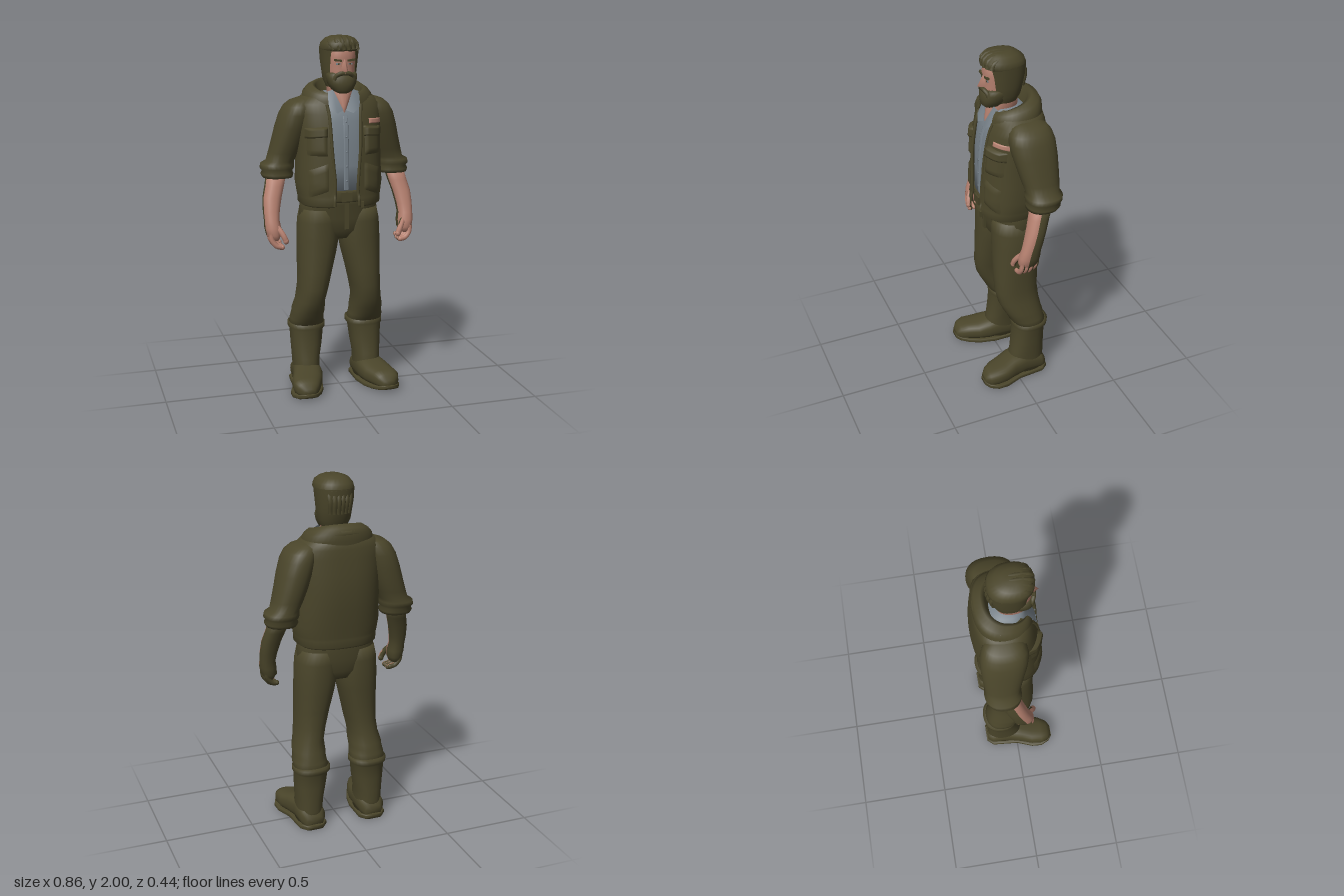
import * as THREE from 'three';

const olive = new THREE.MeshStandardMaterial({ color: 0x4a452a, side: THREE.DoubleSide });
olive.name = 'olive cloth';
const skin = new THREE.MeshStandardMaterial({ color: 0xb5806f, side: THREE.DoubleSide });
skin.name = 'skin';
const grey = new THREE.MeshStandardMaterial({ color: 0x78828a, side: THREE.DoubleSide });
grey.name = 'grey shirt';

// Rows are [y, xMin, xMax, zBack, zFront, frontGapHalfWidth]
function loft(rows, { n = 28, p = 2.3, tilt = 0, caps = true } = {}) {
  const pos = [], idx = [], open = rows[0].length > 5;
  const cols = open ? n + 1 : n;
  for (const [y, x0, x1, zb, zf, gap] of rows) {
    const rx = (x1 - x0) / 2, rz = (zf - zb) / 2;
    const a0 = open ? Math.asin(Math.min(1, Math.pow(gap / rx, p / 2))) : 0;
    for (let j = 0; j < cols; j++) {
      const a = a0 + (2 * Math.PI - 2 * a0) * j / n, s = Math.sin(a), c = Math.cos(a);
      pos.push((x0 + x1) / 2 + rx * Math.sign(s) * Math.abs(s) ** (2 / p), y - tilt * c,
        (zb + zf) / 2 + rz * Math.sign(c) * Math.abs(c) ** (2 / p));
    }
  }
  for (let i = 0; i < rows.length - 1; i++) for (let j = 0; j < n; j++) {
    const k = (j + 1) % cols, a = i * cols + j, b = i * cols + k;
    idx.push(a, b, b + cols, a, b + cols, a + cols);
  }
  if (!open && caps) [0, rows.length - 1].forEach((r, end) => {
    const [y, x0, x1, zb, zf] = rows[r], c = pos.length / 3;
    pos.push((x0 + x1) / 2, y, (zb + zf) / 2);
    for (let j = 0; j < n; j++) {
      const a = r * cols + j, b = r * cols + (j + 1) % n;
      end ? idx.push(a, b, c) : idx.push(b, a, c);
    }
  });
  return surface(pos, idx);
}

function surface(pos, idx) {
  const g = new THREE.BufferGeometry();
  g.setAttribute('position', new THREE.Float32BufferAttribute(pos, 3));
  g.setIndex(idx);
  g.computeVertexNormals();
  return g;
}

// Symmetric rows: [y, halfWidth, zBack, zFront, gap]
const sym = rows => rows.map(([y, w, ...rest]) => [y, -w, w, ...rest]);

// Raised patch hugging the front of a lofted body
function patch(rows, p, x0, x1, y0, y1, lift, slant = 0) {
  const N = 8, pos = [], idx = [];
  for (let i = 0; i <= N; i++) for (let j = 0; j <= N; j++) {
    const x = x0 + (x1 - x0) * j / N, y = y0 + (y1 - y0) * i / N + slant * (j / N - 0.5);
    const k = Math.max(0, Math.min(rows.length - 2, rows.findIndex(r => r[0] > y) - 1));
    const t = (y - rows[k][0]) / (rows[k + 1][0] - rows[k][0]);
    const [, , rx, zb, zf] = rows[k].map((v, q) => v + (rows[k + 1][q] - v) * t);
    const edge = i === 0 || j === 0 || i === N || j === N;
    const u = Math.min(0.99, Math.abs(x) / rx);
    pos.push(x, y, (zb + zf) / 2 + (zf - zb) / 2 * (1 - u ** p) ** (1 / p) + (edge ? 0.001 : lift));
  }
  for (let i = 0; i < N; i++) for (let j = 0; j < N; j++) {
    const a = i * (N + 1) + j, b = a + N + 1;
    idx.push(a, a + 1, b + 1, a, b + 1, b);
  }
  return surface(pos, idx);
}

// Skin on forward faces, olive on the rest
function twoTone(g) {
  const P = g.attributes.position, parts = [[], []], v = [0, 1, 2].map(() => new THREE.Vector3());
  const n = new THREE.Vector3(), I = g.index.array;
  for (let i = 0; i < I.length; i += 3) {
    v.forEach((q, k) => q.fromBufferAttribute(P, I[i + k]));
    THREE.Triangle.getNormal(v[0], v[1], v[2], n);
    parts[n.z > 0.1 ? 0 : 1].push(I[i], I[i + 1], I[i + 2]);
  }
  g.setIndex(parts.flat());
  g.clearGroups();
  g.addGroup(0, parts[0].length, 0);
  g.addGroup(parts[0].length, parts[1].length, 1);
  return g;
}

function mirrored(g) {
  const m = g.clone().scale(-1, 1, 1), a = m.index.array;
  for (let i = 0; i < a.length; i += 3) [a[i], a[i + 1]] = [a[i + 1], a[i]];
  return m;
}

const tube = (pts, r, seg = 10) => new THREE.TubeGeometry(
  new THREE.CatmullRomCurve3(pts.map(q => new THREE.Vector3(...q))), seg, r, 8);
const box = (w, h, d, x, y, z, rz = 0) => new THREE.BoxGeometry(w, h, d).rotateZ(rz).translate(x, y, z);
const ball = (rx, ry, rz, x, y, z) => new THREE.SphereGeometry(1, 14, 10).scale(rx, ry, rz).translate(x, y, z);

export function createModel() {
  const model = new THREE.Group();
  model.name = 'beardedMan';
  const add = (name, g, mat) => {
    const m = new THREE.Mesh(g, mat);
    m.name = name;
    model.add(m);
  };
  const pair = (name, g, mat) => {
    add(name + 'Left', g, mat);
    add(name + 'Right', mirrored(g), mat);
  };

  // Trousers and belt
  add('trouserSeat', loft(sym([[0.88, 0.1, -0.13, 0.06], [0.93, 0.19, -0.155, 0.095], [1.0, 0.225, -0.165, 0.105],
    [1.08, 0.215, -0.17, 0.115], [1.16, 0.2, -0.165, 0.13]])), olive);
  pair('trouserLeg', loft([[0.33, 0.09, 0.25, -0.16, -0.02], [0.365, 0.072, 0.272, -0.185, 0.005],
    [0.4, 0.078, 0.27, -0.172, 0.03], [0.43, 0.082, 0.262, -0.17, 0.045], [0.46, 0.08, 0.262, -0.16, 0.062],
    [0.52, 0.085, 0.245, -0.148, 0.09], [0.6, 0.068, 0.236, -0.142, 0.106], [0.7, 0.045, 0.235, -0.146, 0.107],
    [0.8, 0.02, 0.235, -0.156, 0.106], [0.88, 0.004, 0.235, -0.162, 0.105], [0.98, 0.0, 0.23, -0.165, 0.105],
    [1.05, 0.01, 0.215, -0.16, 0.1]]), olive);
  add('belt', loft(sym([[1.1, 0.2, -0.17, 0.138], [1.11, 0.205, -0.175, 0.143], [1.155, 0.203, -0.175, 0.147],
    [1.165, 0.198, -0.17, 0.14]])), olive);
  add('buckle', box(0.06, 0.05, 0.012, 0, 1.133, 0.148), olive);
  add('fly', box(0.025, 0.15, 0.01, 0.01, 1.02, 0.112), olive);

  // Boots
  pair('bootShaft', loft([[0.02, 0.11, 0.255, -0.175, 0.03], [0.1, 0.107, 0.255, -0.175, 0.04],
    [0.17, 0.103, 0.258, -0.176, 0.022], [0.25, 0.088, 0.264, -0.175, 0.012], [0.33, 0.078, 0.268, -0.18, 0.005],
    [0.345, 0.066, 0.277, -0.193, 0.01], [0.37, 0.066, 0.277, -0.197, 0.008], [0.378, 0.085, 0.26, -0.18, -0.01]]), olive);
  // Foot rows run along z: [z, xMin, xMax, -top, -bottom]
  pair('bootFoot', loft([[-0.18, 0.13, 0.23, -0.08, -0.01], [-0.15, 0.108, 0.255, -0.12, -0.01],
    [-0.05, 0.105, 0.262, -0.15, -0.01], [0.03, 0.108, 0.282, -0.14, -0.01], [0.09, 0.125, 0.302, -0.12, -0.012],
    [0.15, 0.15, 0.308, -0.115, -0.015], [0.19, 0.172, 0.295, -0.1, -0.018], [0.213, 0.2, 0.265, -0.07, -0.025]],
    { p: 2.6 }).rotateX(Math.PI / 2), olive);
  pair('bootSole', loft([[-0.187, 0.13, 0.23, -0.03, 0], [-0.15, 0.1, 0.262, -0.03, 0], [0, 0.1, 0.275, -0.028, 0],
    [0.09, 0.12, 0.31, -0.028, 0], [0.15, 0.145, 0.315, -0.032, -0.004], [0.195, 0.175, 0.295, -0.038, -0.01],
    [0.217, 0.2, 0.265, -0.042, -0.018]], { p: 5 }).rotateX(Math.PI / 2), olive);

  // Shirt with placket and collar
  const shirt = sym([[1.15, 0.19, -0.15, 0.135], [1.3, 0.19, -0.16, 0.135], [1.42, 0.19, -0.16, 0.13],
    [1.54, 0.18, -0.16, 0.115], [1.6, 0.17, -0.15, 0.094], [1.65, 0.13, -0.14, 0.068], [1.69, 0.09, -0.1, 0.05]]);
  add('shirt', loft(shirt, { p: 2.5 }), grey);
  add('shirtPlacket', patch(shirt, 2.5, -0.012, 0.016, 1.17, 1.57, 0.006), grey);
  for (let i = 0; i < 5; i++) add('shirtButton' + i, ball(0.005, 0.005, 0.003, 0.002, 1.22 + i * 0.08, 0.142 - i * i * 0.001), grey);
  pair('shirtCollar', surface([0.055, 1.71, 0.07, 0.105, 1.69, 0.055, 0.08, 1.61, 0.108, 0.045, 1.585, 0.12, 0.008, 1.6, 0.106],
    [0, 2, 1, 0, 3, 2, 0, 4, 3]), grey);
  add('neck', loft(sym([[1.575, 0.006, 0, 0.098], [1.62, 0.03, -0.05, 0.1], [1.69, 0.068, -0.08, 0.085],
    [1.8, 0.065, -0.08, 0.05]])), skin);

  // Open jacket
  const jacket = sym([[1.075, 0.212, -0.185, 0.152, 0.07], [1.085, 0.226, -0.193, 0.162, 0.07],
    [1.125, 0.228, -0.195, 0.162, 0.068], [1.14, 0.232, -0.194, 0.156, 0.066], [1.2, 0.24, -0.203, 0.157, 0.064],
    [1.3, 0.236, -0.213, 0.152, 0.072], [1.4, 0.235, -0.22, 0.147, 0.08], [1.5, 0.238, -0.216, 0.134, 0.084],
    [1.58, 0.24, -0.208, 0.117, 0.088], [1.63, 0.235, -0.203, 0.1, 0.095], [1.665, 0.2, -0.195, 0.085, 0.1],
    [1.7, 0.13, -0.17, 0.06, 0.095]]);
  add('jacketBody', loft(jacket, { n: 44, p: 2.5 }), olive);
  pair('jacketFrontEdge', tube(jacket.slice(1, 10).map(r => [r[5], r[0], r[4] - 0.008]), 0.009, 24), olive);
  pair('chestPocket', patch(jacket, 2.5, 0.105, 0.205, 1.36, 1.49, 0.013), olive);
  pair('pocketFlap', patch(jacket, 2.5, 0.1, 0.212, 1.455, 1.512, 0.024, -0.012), olive);
  pair('sidePocket', patch(jacket, 2.5, 0.1, 0.2, 1.15, 1.3, 0.009, -0.04), olive);
  add('chestPatch', patch(jacket, 2.5, 0.135, 0.218, 1.523, 1.55, 0.007, -0.004), skin);
  add('zipPull', box(0.014, 0.035, 0.012, 0.085, 1.09, 0.163), olive);
  add('hoodCollar', loft(sym([[1.58, 0.2, -0.195, 0.112, 0.09], [1.64, 0.2, -0.2, 0.11, 0.088],
    [1.68, 0.19, -0.198, 0.105, 0.088], [1.705, 0.17, -0.185, 0.1, 0.088], [1.722, 0.14, -0.15, 0.09, 0.085],
    [1.715, 0.122, -0.128, 0.085, 0.085], [1.63, 0.11, -0.11, 0.075, 0.085]]), { n: 36, tilt: 0.035 }), olive);
  add('hoodFold', tube([[0.16, 1.69, -0.07], [0.1, 1.705, -0.155], [0, 1.71, -0.178], [-0.1, 1.705, -0.155],
    [-0.16, 1.69, -0.07]], 0.022, 20), olive);

  // Sleeves with rolled cuffs
  pair('sleeve', loft([[1.225, 0.29, 0.39, -0.14, -0.03], [1.222, 0.25, 0.415, -0.17, 0], [1.24, 0.243, 0.423, -0.182, 0.002],
    [1.258, 0.25, 0.414, -0.178, -0.004], [1.272, 0.24, 0.427, -0.19, 0.004], [1.295, 0.238, 0.422, -0.194, 0.004],
    [1.312, 0.238, 0.392, -0.184, -0.004], [1.36, 0.215, 0.378, -0.19, 0.01], [1.42, 0.19, 0.362, -0.194, 0.025],
    [1.5, 0.16, 0.342, -0.197, 0.045], [1.57, 0.14, 0.32, -0.193, 0.056], [1.615, 0.13, 0.295, -0.18, 0.05],
    [1.642, 0.13, 0.262, -0.16, 0.03], [1.66, 0.13, 0.21, -0.12, 0]]), olive);

  // Forearms, hands and fingers
  const bare = [skin, olive];
  pair('forearm', twoTone(loft([[0.89, 0.352, 0.4, -0.03, 0.055], [0.92, 0.338, 0.42, -0.045, 0.066],
    [0.96, 0.338, 0.428, -0.052, 0.064], [1.0, 0.345, 0.428, -0.055, 0.05], [1.05, 0.338, 0.43, -0.07, 0.036],
    [1.12, 0.322, 0.426, -0.09, 0.016], [1.18, 0.303, 0.41, -0.112, -0.002], [1.25, 0.285, 0.395, -0.14, -0.02]])), bare);
  for (let i = 0; i < 4; i++) {
    const z = -0.028 + i * 0.026, drop = i === 0 ? 0.012 : 0;
    pair('finger' + i, twoTone(tube([[0.4, 0.93, z], [0.395, 0.89 + drop, z + 0.004], [0.37, 0.86 + drop, z + 0.008],
      [0.342, 0.853 + drop, z + 0.008]], 0.0145)), bare);
    pair('fingertip' + i, twoTone(ball(0.0145, 0.0145, 0.0145, 0.342, 0.853 + drop, z + 0.008)), bare);
  }
  pair('thumb', twoTone(tube([[0.365, 0.965, 0.04], [0.345, 0.935, 0.06], [0.332, 0.91, 0.07], [0.324, 0.89, 0.072]], 0.016)), bare);
  pair('thumbTip', twoTone(ball(0.016, 0.018, 0.016, 0.324, 0.89, 0.072)), bare);

  // Head and face
  add('face', loft(sym([[1.72, 0.045, -0.03, 0.085], [1.76, 0.07, -0.07, 0.1], [1.81, 0.077, -0.09, 0.103],
    [1.845, 0.08, -0.1, 0.1], [1.88, 0.082, -0.1, 0.106], [1.93, 0.078, -0.1, 0.1], [1.97, 0.05, -0.07, 0.07]])), skin);
  add('nose', surface([0, 1.875, 0.104, 0.011, 1.85, 0.1, -0.011, 1.85, 0.1, 0.021, 1.806, 0.1, -0.021, 1.806, 0.1,
    0, 1.812, 0.139, 0, 1.797, 0.105], [0, 5, 1, 0, 2, 5, 1, 5, 3, 2, 4, 5, 5, 6, 3, 5, 4, 6]), skin);
  pair('eye', box(0.022, 0.008, 0.006, 0.034, 1.847, 0.096), grey);
  pair('pupil', box(0.008, 0.008, 0.008, 0.033, 1.847, 0.097), olive);
  pair('eyebrow', box(0.04, 0.011, 0.012, 0.036, 1.866, 0.1, 0.12), olive);
  add('beard', loft(sym([[1.69, 0.03, 0.03, 0.1], [1.705, 0.056, 0, 0.117], [1.74, 0.077, -0.03, 0.122],
    [1.77, 0.085, -0.04, 0.117], [1.79, 0.085, -0.04, 0.106], [1.8, 0.08, -0.04, 0.092]])), olive);
  pair('moustache', tube([[0, 1.798, 0.112], [0.025, 1.796, 0.11], [0.046, 1.782, 0.1], [0.054, 1.762, 0.095]], 0.012), olive);

  // Hair: open-faced sides, cap and swept locks
  add('hairSides', loft(sym([[1.72, 0.07, -0.075, 0.07, 0.055], [1.76, 0.088, -0.095, 0.08, 0.066],
    [1.81, 0.094, -0.108, 0.09, 0.07], [1.87, 0.101, -0.12, 0.095, 0.07], [1.93, 0.105, -0.122, 0.105, 0.066]])), olive);
  add('hairCap', loft(sym([[1.912, 0.1, -0.12, 0.1], [1.925, 0.106, -0.122, 0.115], [1.955, 0.1, -0.112, 0.115],
    [1.98, 0.078, -0.08, 0.092], [1.992, 0.045, -0.045, 0.06]])), olive);
  for (let i = 0; i < 6; i++) {
    const x = -0.07 + i * 0.028, h = 1 - (x / 0.13) ** 2;
    add('hairLock' + i, tube([[x * 0.9 + 0.01, 1.92, 0.105 * h ** 0.5], [x, 1.925 + 0.04 * h, 0.1 * h],
      [x * 0.95, 1.93 + 0.052 * h, 0.03], [x * 0.9, 1.915 + 0.05 * h, -0.05], [x * 0.8, 1.88, -0.115 * h ** 0.4],
      [x * 0.7, 1.8, -0.104 * h ** 0.4]], 0.014, 18), olive);
  }
  return model;
}
